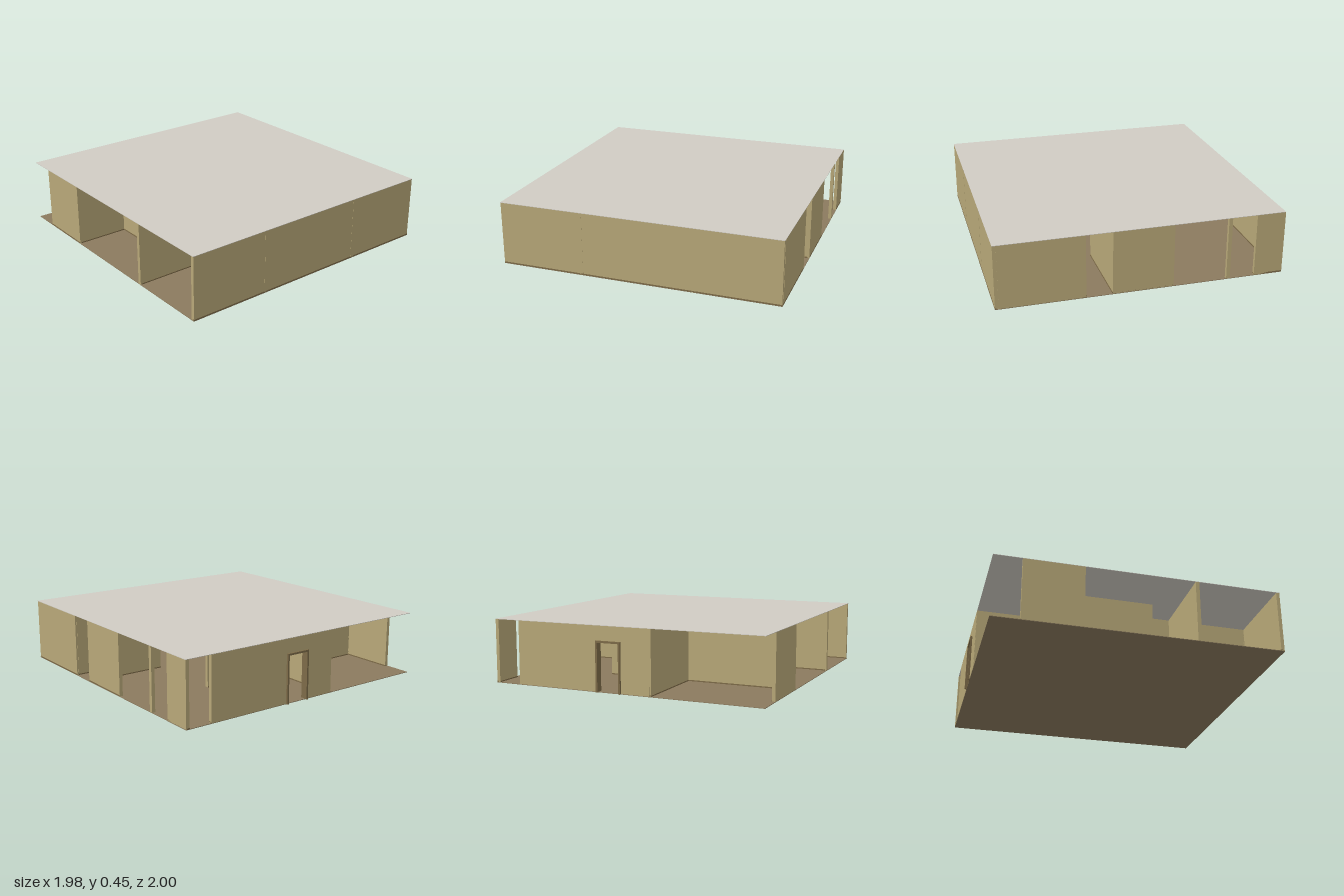
import * as THREE from 'three';

const H = 0.45;      // overall height
const T = 0.024;     // wall thickness
const BASE = 0.012;  // skirting height
const DOOR_H = 0.335;

function mat(name, color) {
  const m = new THREE.MeshStandardMaterial({ color });
  m.name = name;
  return m;
}

export function createModel() {
  const wallMat = mat('tan wall', 0xb8a878);
  const floorMat = mat('brown carpet', 0x8b7a5e);
  const ceilingMat = mat('pale grey ceiling', 0xd0ccc4);
  const trimMat = mat('brown trim', 0x7d6b48);

  const model = new THREE.Group();
  model.name = 'flatRoofedRooms';

  // Box given by its minimum and maximum corners
  function block(parent, name, material, x0, x1, y0, y1, z0, z1) {
    const mesh = new THREE.Mesh(new THREE.BoxGeometry(x1 - x0, y1 - y0, z1 - z0), material);
    mesh.position.set((x0 + x1) / 2, (y0 + y1) / 2, (z0 + z1) / 2);
    mesh.name = name;
    parent.add(mesh);
  }

  // Wall panel with a skirting that stands slightly proud on both sides
  function wall(name, x0, x1, z0, z1, y0 = 0.004) {
    const g = new THREE.Group();
    g.name = name;
    block(g, 'panel', wallMat, x0, x1, y0, H - 0.003, z0, z1);
    if (y0 < BASE) {
      const p = 0.003;
      const alongX = x1 - x0 > z1 - z0;
      const px = alongX ? 0 : p, pz = alongX ? p : 0;
      block(g, 'skirting', trimMat,
        Math.max(x0 - px, -0.99), Math.min(x1 + px, 0.99), 0.003, BASE,
        Math.max(z0 - pz, -0.985), Math.min(z1 + pz, 1));
    }
    model.add(g);
  }
  const wallX = (name, z, x0, x1) => wall(name, x0, x1, z - T / 2, z + T / 2);
  const wallZ = (name, x, z0, z1) => wall(name, x - T / 2, x + T / 2, z0, z1);

  // Wall along x with a framed doorway in it
  function doorWall(name, z, x0, x1, d0, d1) {
    wallX(name + 'Right', z, x0, d0);
    wallX(name + 'Left', z, d1, x1);
    wall(name + 'Lintel', d0, d1, z - T / 2, z + T / 2, DOOR_H);
    const g = new THREE.Group();
    g.name = name + 'DoorFrame';
    const w = 0.013, f = T / 2 + 0.014;
    block(g, 'jamb', trimMat, d0, d0 + w, 0.001, DOOR_H, z - f, z + f);
    block(g, 'jamb', trimMat, d1 - w, d1, 0.001, DOOR_H, z - f, z + f);
    block(g, 'doorHead', trimMat, d0, d1, DOOR_H, DOOR_H + w, z - f, z + f);
    model.add(g);
  }

  // Floor and ceiling slabs
  block(model, 'floor', floorMat, -0.99, 0.99, 0, 0.004, -0.985, 1);
  block(model, 'ceiling', ceilingMat, -0.99, 0.99, H - 0.003, H, -0.985, 1);

  // Outer walls: closed front, open bays on the other sides
  const side = 0.99 - T / 2;
  wallX('frontWall', 0.987, -0.988, 0.988);
  doorWall('backWall', -0.974, -0.2, 0.8, 0.008, 0.19);
  wallZ('leftFrontWall', side, 0.4, 0.975);
  wallZ('leftMiddleWall', side, -0.2, 0.22);
  wallZ('leftBackWall', side, -0.985, -0.78);
  wallZ('rightBackWall', -side, -0.79, -0.376);

  // Slim posts standing in the open bays
  const posts = [[side, -0.59], [-side, -0.388], [-side, 0.4]];
  for (const [x, z] of posts) {
    block(model, 'post', wallMat, x - 0.012, x + 0.0125, 0.004, H - 0.003, z - 0.013, z + 0.013);
  }

  // Edges of the cross walls showing on the front
  for (const x of [-0.4, 0.4]) {
    block(model, 'frontPilaster', wallMat, x - 0.013, x + 0.013, 0.002, H - 0.003, 0.97, 1);
  }

  // Inner partitions
  wallZ('frontPartitionLeft', 0.4, 0.4, 0.975);
  wallZ('frontPartitionRight', -0.4, 0.21, 0.975);
  wallX('corridorWallRight', 0.4, -0.978, -0.4);
  wallX('corridorWallLeft', 0.41, 0.4, 0.978);
  wallX('middleRoomWall', 0.208, 0.4, 0.978);
  wallZ('backPartition', -0.2, -0.985, -0.39);
  wallZ('sidePartition', -0.6, -0.38, 0.2);
  doorWall('innerWall', -0.388, -0.978, 0.4, 0.008, 0.19);

  return model;
}
